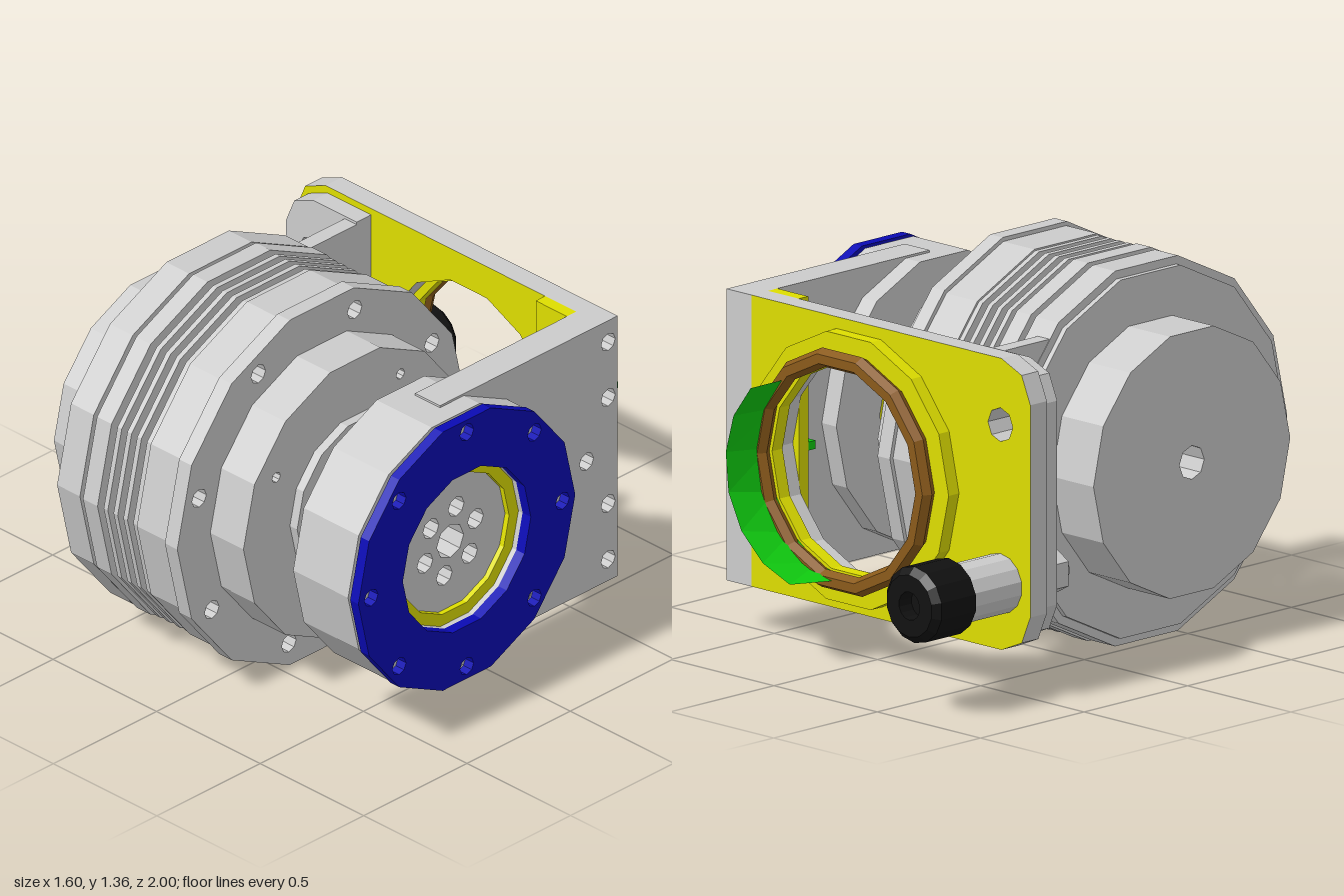
import * as THREE from 'three';

const mat = (color) => new THREE.MeshStandardMaterial({ color, flatShading: true, side: THREE.DoubleSide });
const AXIS_Y = 0.69, AXIS_Z = 0.3; // the shared spindle runs along x

export function createModel() {
  const model = new THREE.Group();
  const grey = mat(0xcccccc), yellow = mat(0xdddd00), blue = mat(0x0a0ab4);
  const green = mat(0x10cc10), brown = mat(0x8a5a1a), black = mat(0x111111), bright = mat(0xffffff);

  const add = (name, geometry, material) => {
    const mesh = new THREE.Mesh(geometry, material);
    mesh.name = name;
    model.add(mesh);
    return mesh;
  };

  // Regular polygon outline, pointed at the sides and flat on top
  const polygon = (r, n, cx = 0, cy = 0, Type = THREE.Shape) => {
    const pts = [];
    for (let i = 0; i < n; i++) {
      const a = (i / n) * Math.PI * 2;
      pts.push(new THREE.Vector2(cx + r * Math.cos(a), cy + r * Math.sin(a)));
    }
    return new Type(pts);
  };
  const hole = (r, n, cx, cy) => polygon(r, n, cx, cy, THREE.Path);
  // Circle of holes round the spindle
  const boltHoles = (count, radius, size, startDeg) => Array.from({ length: count }, (_, i) => {
    const a = THREE.MathUtils.degToRad(startDeg) + (i / count) * Math.PI * 2;
    return hole(size, 8, -radius * Math.cos(a), radius * Math.sin(a));
  });

  const extrude = (shape, depth) => new THREE.ExtrudeGeometry(shape, { depth, bevelEnabled: false, curveSegments: 8 });
  // Outline round the spindle, extruded from x0 to x1
  const alongX = (name, shape, x0, x1, material) =>
    add(name, extrude(shape, x1 - x0).rotateY(Math.PI / 2).translate(x0, AXIS_Y, AXIS_Z), material);
  const disc = (name, x0, x1, r, inner = 0.06, material = grey, holes = [], n = 14) => {
    const s = polygon(r, n);
    s.holes.push(hole(inner, inner > 0.2 ? 14 : 8), ...holes);
    return alongX(name, s, x0, x1, material);
  };
  const alongZ = (name, shape, z0, z1, material) => add(name, extrude(shape, z1 - z0).translate(0, 0, z0), material);
  const rod = (name, x, y, z0, z1, r, material, n = 12) =>
    add(name, new THREE.CylinderGeometry(r, r, z1 - z0, n).rotateX(Math.PI / 2).translate(x, y, (z0 + z1) / 2), material);

  // Motor drum
  disc('endCap', -0.72, -0.52, 0.475);
  disc('rearPlate', -0.52, -0.5, 0.65);
  disc('rearFlange', -0.5, -0.39, 0.68);
  disc('rearDrumRing', -0.37, -0.3, 0.685);
  for (let i = 0; i < 4; i++) disc('coolingFin', -0.275 + i * 0.0475, -0.255 + i * 0.0475, 0.68);
  disc('drumBody', -0.11, 0.04, 0.685);
  disc('mountingFlange', 0.04, 0.1, 0.7, 0.06, grey, boltHoles(8, 0.615, 0.035, 15));
  disc('frontBody', 0.1, 0.26, 0.54, 0.06, grey, boltHoles(4, 0.44, 0.02, 30));
  disc('frontCollar', 0.26, 0.295, 0.315);
  disc('frontStep', 0.295, 0.315, 0.26);
  disc('driveHub', 0.315, 0.4, 0.175, 0.06, blue, [], 12);

  // Output bearing housing
  disc('bearingHousing', 0.48, 0.745, 0.52, 0.31);
  disc('housingLip', 0.745, 0.76, 0.495, 0.31);
  disc('coverRing', 0.76, 0.8, 0.525, 0.31, blue, boltHoles(8, 0.463, 0.033, 0));
  disc('bearingSeal', 0.5, 0.74, 0.315, 0.265, yellow);
  disc('outputDisc', 0.5, 0.72, 0.27, 0.065, grey, boltHoles(6, 0.128, 0.038, 43));

  // Side arms with a round cut-out where they meet the spindle parts
  const armShape = (reach, half, cut) => {
    const s = new THREE.Shape();
    s.moveTo(0, -half);
    s.lineTo(reach, -half);
    s.lineTo(reach, half);
    s.lineTo(0, half);
    s.lineTo(0, cut);
    s.absarc(0, 0, cut, Math.PI / 2, -Math.PI / 2, true);
    s.closePath();
    return s;
  };
  const rightArm = armShape(0.86, 0.515, 0.45);
  for (const y of [-0.43, -0.21, 0.21, 0.43]) rightArm.holes.push(hole(0.034, 8, 0.815, y));
  rightArm.holes.push(hole(0.034, 8, 0.71, 0));
  alongX('outputArm', rightArm, 0.55, 0.67, grey);
  alongX('motorArm', armShape(0.78, 0.48, 0.43), -0.498, -0.44, grey);

  // Plates with the corners cut on the -x side
  const plateShape = (x0, x1, y0, y1, c) => {
    const k = c * 0.3;
    return new THREE.Shape([
      [x1, y0], [x1, y1], [x0 + c, y1], [x0 + k, y1 - k], [x0, y1 - c],
      [x0, y0 + c], [x0 + k, y0 + k], [x0 + c, y0],
    ].map(([x, y]) => new THREE.Vector2(x, y)));
  };
  const postX = -0.655, postY = 0.41, ringX = 0.03;
  const back = plateShape(-0.8, 0.55, 0.175, 1.205, 0.14);
  back.holes.push(hole(0.4, 14, ringX, AXIS_Y), hole(0.06, 8, postX, 0.97));
  alongZ('backPlate', back, -0.56, -0.48, [yellow, grey]);
  const foot = plateShape(-0.78, -0.44, 0.2, 1.18, 0.13);
  foot.holes.push(hole(0.06, 8, postX, 0.97));
  alongZ('motorArmFoot', foot, -0.48, -0.41, grey);
  add('cornerStrip', new THREE.BoxGeometry(0.15, 1.03, 0.045).translate(0.475, AXIS_Y, -0.4575), yellow);
  add('alignmentTab', new THREE.BoxGeometry(0.15, 0.03, 0.035).translate(0.475, 0.675, -0.4175), green);

  // Port rings on the back plate
  const seat = polygon(0.485, 14, ringX, AXIS_Y);
  seat.holes.push(hole(0.37, 14, ringX, AXIS_Y));
  alongZ('portSeat', seat, -0.61, -0.56, yellow);
  add('portRing', new THREE.TorusGeometry(0.4, 0.034, 6, 14).translate(ringX, AXIS_Y, -0.64), brown);

  // Curved guard: part of a tube wall with a slanted lower end
  const guard = new THREE.BufferGeometry();
  const pos = [], index = [], steps = 6;
  for (let i = 0; i <= steps; i++) {
    for (const [z, start] of [[-0.61, -90], [-0.82, -79]]) {
      const a = THREE.MathUtils.degToRad(start + (47 - start) * (i / steps));
      pos.push(ringX + 0.385 * Math.cos(a), AXIS_Y + 0.385 * Math.sin(a), z);
    }
    if (i < steps) index.push(2 * i, 2 * i + 1, 2 * i + 2, 2 * i + 1, 2 * i + 3, 2 * i + 2);
  }
  guard.setAttribute('position', new THREE.Float32BufferAttribute(pos, 3));
  guard.setIndex(index);
  guard.computeVertexNormals();
  add('portGuard', guard, green);

  // Handle post, knob and its fastening
  rod('handlePost', postX, postY, -0.82, -0.56, 0.105, bright, 14);
  const knobProfile = [[0.05, 0.13], [0.05, 0.19], [0.11, 0.19], [0.135, 0.165], [0.135, 0], [0, 0]];
  const knob = new THREE.LatheGeometry([[0, 0.13], ...knobProfile].map(([r, h]) => new THREE.Vector2(r, h)), 14);
  add('knob', knob.rotateX(-Math.PI / 2).translate(postX, postY, -0.81), black);
  rod('postStud', postX, postY, -0.56, -0.27, 0.045, grey, 10);
  rod('postWasher', postX, postY, -0.41, -0.37, 0.07, grey, 10);
  rod('postNut', postX, postY, -0.365, -0.305, 0.087, grey, 6);

  return model;
}
